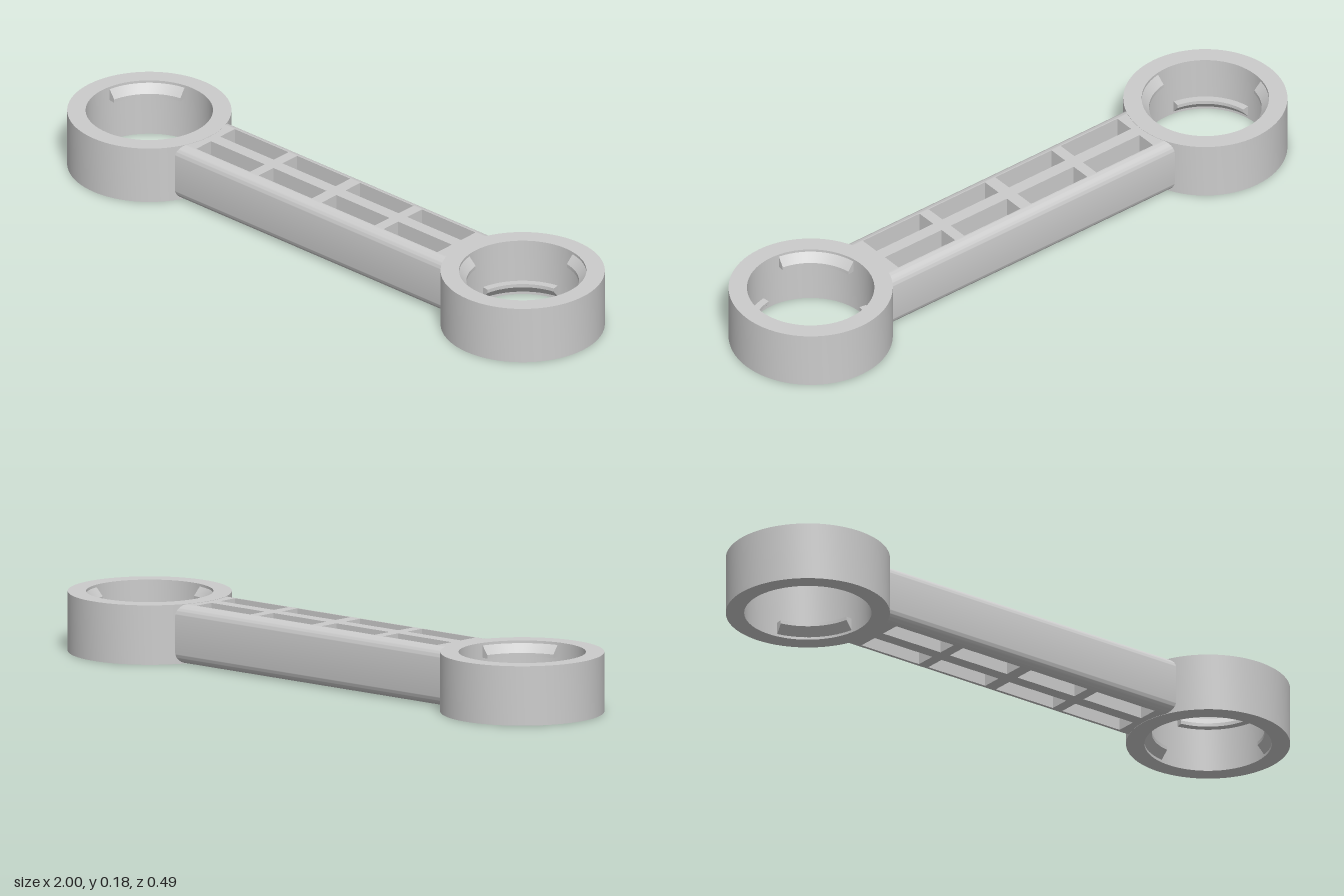
import * as THREE from 'three';
import { toCreasedNormals } from 'three/addons/utils/BufferGeometryUtils.js';

const H = 0.18;          // overall height
const RING_X = 0.755;    // ring centre distance
const R_OUT = 0.245, R_IN = 0.19, R_TAB = 0.168;
const material = new THREE.MeshStandardMaterial({ color: 0xcccccc });

function add(parent, geometry, name) {
  const mesh = new THREE.Mesh(geometry, material);
  mesh.name = name;
  parent.add(mesh);
  return mesh;
}

// Ring wall: closed rectangular profile turned about y
function ringGeometry() {
  const profile = [[R_OUT, 0], [R_OUT, H], [R_IN, H], [R_IN, 0], [R_OUT, 0]]
    .map(([r, y]) => new THREE.Vector2(r, y));
  return toCreasedNormals(new THREE.LatheGeometry(profile, 72), 0.5);
}

// Snap tab: wedge profile swept around part of the ring's inside
function tabGeometry(centreAngle, atTop) {
  const half = THREE.MathUtils.degToRad(36);
  const profile = [[R_IN + 0.005, 0.135], [R_TAB, 0.135], [R_TAB, 0.146], [R_IN, 0.172], [R_IN + 0.005, 0.172]]
    .map(([r, y]) => new THREE.Vector2(r, atTop ? y : H - y));
  const geometry = new THREE.ExtrudeGeometry(new THREE.Shape(profile), {
    depth: 2 * half, steps: 16, bevelEnabled: false,
  });
  const p = geometry.attributes.position;
  for (let i = 0; i < p.count; i++) {
    const r = p.getX(i), a = centreAngle - half + p.getZ(i);
    p.setXYZ(i, r * Math.cos(a), p.getY(i), r * Math.sin(a));
  }
  return toCreasedNormals(geometry, 0.4);
}

// Bar section: rounded sides, two channels above and two below a middle web
const Z_SIDE = 0.12, Z_IN = 0.02, Z_OUT = 0.085, CORNER = 0.035;
const WEB_LOW = 0.075, WEB_HIGH = 0.105, BAR_LOW = 0.001, BAR_HIGH = H - 0.001;
function barGeometry(halfLength) {
  const s = new THREE.Shape();
  const c = CORNER, w = Z_SIDE - c;
  s.moveTo(-w, BAR_LOW);
  for (const side of [-1, 1]) {
    const a = side < 0 ? -Z_OUT : Z_IN, b = side < 0 ? -Z_IN : Z_OUT;
    s.lineTo(a, BAR_LOW).lineTo(a, WEB_LOW).lineTo(b, WEB_LOW).lineTo(b, BAR_LOW);
  }
  s.absarc(w, BAR_LOW + c, c, -Math.PI / 2, 0, false);
  s.absarc(w, BAR_HIGH - c, c, 0, Math.PI / 2, false);
  for (const side of [1, -1]) {
    const a = side > 0 ? Z_OUT : -Z_IN, b = side > 0 ? Z_IN : -Z_OUT;
    s.lineTo(a, BAR_HIGH).lineTo(a, WEB_HIGH).lineTo(b, WEB_HIGH).lineTo(b, BAR_HIGH);
  }
  s.absarc(-w, BAR_HIGH - c, c, Math.PI / 2, Math.PI, false);
  s.absarc(-w, BAR_LOW + c, c, Math.PI, Math.PI * 1.5, false);
  const geometry = new THREE.ExtrudeGeometry(s, {
    depth: 2 * halfLength, bevelEnabled: false, curveSegments: 10,
  });
  geometry.translate(0, 0, -halfLength).rotateY(Math.PI / 2);
  return toCreasedNormals(geometry, 0.5);
}

export function createModel() {
  const model = new THREE.Group();
  model.name = 'connectingLink';

  // End rings with four tabs each, alternating top and bottom
  for (const side of [-1, 1]) {
    const end = new THREE.Group();
    end.name = side > 0 ? 'leftEnd' : 'rightEnd';
    end.position.x = side * RING_X;
    add(end, ringGeometry(), 'ring');
    for (let q = 0; q < 4; q++) {
      const atTop = (q % 2 === 0) === (side < 0);
      add(end, tabGeometry(Math.PI / 4 + q * Math.PI / 2, atTop), atTop ? 'topTab' : 'bottomTab');
    }
    model.add(end);
  }

  // Bar between the rings
  const BAR_HALF = 0.56;
  add(model, barGeometry(BAR_HALF), 'bar');

  // Cross ribs and solid ends dividing the channels into pockets
  const ribs = [[-BAR_HALF, -0.487], [-0.27, -0.235], [-0.02, 0.02], [0.235, 0.27], [0.487, BAR_HALF]];
  for (const [x0, x1] of ribs) {
    for (const side of [-1, 1]) {
      const rib = add(model, new THREE.BoxGeometry(x1 - x0, BAR_HIGH - BAR_LOW, Z_OUT - Z_IN), 'crossRib');
      rib.position.set((x0 + x1) / 2, H / 2, side * (Z_IN + Z_OUT) / 2);
    }
  }
  return model;
}
